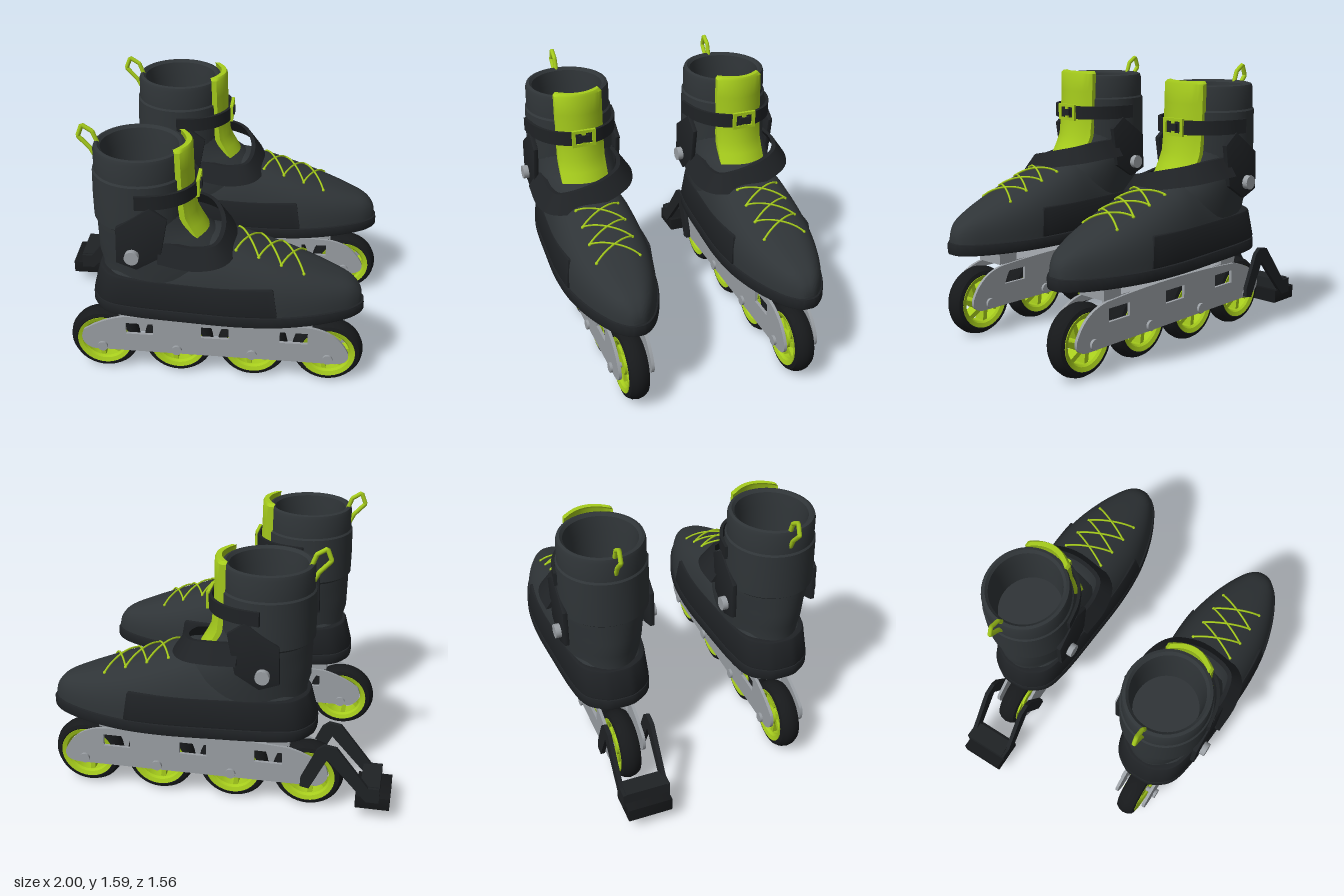
import * as THREE from 'three';
import { toCreasedNormals } from 'three/addons/utils/BufferGeometryUtils.js';

const mat = (color) => new THREE.MeshStandardMaterial({ color, side: THREE.DoubleSide });
const shell = mat(0x2f3437), dark = mat(0x1f2225), rubber = mat(0x17191b), lime = mat(0xa6cc1c), metal = mat(0x9a9fa4);
const V = (x, y, z) => new THREE.Vector3(x, y, z);

function add(parent, name, geo, material, x = 0, y = 0, z = 0) {
  const m = new THREE.Mesh(geo, material);
  m.name = name;
  m.position.set(x, y, z);
  parent.add(m);
  return m;
}

// Skin over closed rings of points, with end caps
function loft(rings, crease = 0.7) {
  const n = rings[0].length, last = (rings.length - 1) * n, idx = [];
  for (let i = 0; i < rings.length - 1; i++) for (let j = 0; j < n; j++) {
    const a = i * n + j, b = i * n + (j + 1) % n;
    idx.push(a, a + n, b, b, a + n, b + n);
  }
  for (let j = 0; j < n / 2 - 1; j++) {
    const k = n - 1 - j;
    idx.push(j, j + 1, k - 1, j, k - 1, k);
    idx.push(last + j, last + k - 1, last + j + 1, last + j, last + k, last + k - 1);
  }
  const g = new THREE.BufferGeometry().setFromPoints(rings.flat());
  g.setIndex(idx);
  return toCreasedNormals(g, crease);
}

// Strap following a path, leaning inwards at its upper edge
function band(points, height, thick, lean = 0) {
  const curve = new THREE.CatmullRomCurve3(points), rings = [], up = V(0, 1, 0);
  for (let i = 0; i <= 40; i++) {
    const p = curve.getPoint(i / 40);
    const out = curve.getTangent(i / 40).cross(up).normalize();
    const at = (o, h) => p.clone().addScaledVector(out, o - lean * h / height).addScaledVector(up, h);
    const h = height / 2;
    rings.push([at(thick, -h), at(thick, h), at(0, h), at(0, -h)]);
  }
  return loft(rings);
}

// Piecewise smooth interpolation through [x, value] pairs
function profile(table) {
  const curve = new THREE.SplineCurve(table.map(([a, b]) => new THREE.Vector2(a, b)));
  const pts = curve.getPoints(120);
  return (x) => {
    let i = 1;
    while (i < pts.length - 1 && pts[i].x < x) i++;
    const a = pts[i - 1], b = pts[i];
    return a.y + (b.y - a.y) * THREE.MathUtils.clamp((x - a.x) / (b.x - a.x || 1), 0, 1);
  };
}

function extrude(shape, depth, bevel = 0) {
  return toCreasedNormals(new THREE.ExtrudeGeometry(shape, {
    depth, curveSegments: 16, bevelEnabled: bevel > 0, bevelSize: bevel, bevelThickness: bevel, bevelSegments: 2,
  }), 0.6);
}
const polygon = (pts) => new THREE.Shape(pts.map(([x, y]) => new THREE.Vector2(x, y)));

// Foot plan (half width) and instep line (height) along x
const OUTLINE = [[-0.65, 0.03], [-0.635, 0.09], [-0.56, 0.18], [-0.4, 0.22], [-0.1, 0.245], [0.15, 0.26], [0.35, 0.253],
  [0.5, 0.228], [0.65, 0.182], [0.78, 0.12], [0.845, 0.065], [0.868, 0.025]];
const halfWidth = profile(OUTLINE);
const instep = profile([[-0.65, 0.62], [-0.5, 0.82], [-0.25, 0.93], [0, 0.985], [0.15, 0.95], [0.3, 0.9], [0.5, 0.83],
  [0.7, 0.755], [0.8, 0.71], [0.85, 0.66], [0.868, 0.61]]);
const BASE = 0.56, POWER = 2.8;
const footY = (x, z) => BASE + (instep(x) - BASE) * Math.pow(1 - Math.pow(Math.abs(z) / halfWidth(x), POWER), 1 / POWER);

function planShape(xMax) {
  const side = new THREE.SplineCurve(OUTLINE.map(([x, w]) => new THREE.Vector2(x, w))).getPoints(60).filter((p) => p.x <= xMax);
  return new THREE.Shape([...side, ...side.slice().reverse().map((p) => new THREE.Vector2(p.x, -p.y))]);
}

function buildBoot(skate) {
  const boot = new THREE.Group();
  boot.name = 'boot';
  skate.add(boot);

  // Foot
  const foot = [];
  for (let i = 0; i <= 48; i++) {
    const x = -0.64 + 1.505 * Math.sin((i / 48) * Math.PI / 2), ring = [];
    for (let j = 0; j < 32; j++) {
      const a = (j / 31) * Math.PI, c = Math.cos(a), s = Math.sin(a), e = 2 / POWER;
      ring.push(V(x, BASE + (instep(x) - BASE) * Math.pow(Math.max(s, 0), e),
        halfWidth(x) * Math.sign(c) * Math.pow(Math.abs(c), e)));
    }
    foot.push(ring);
  }
  add(boot, 'foot', loft(foot, 0.9), shell);

  // Ankle: height, back, front, half width
  const ankle = [[0.57, -0.63, 0.1, 0.2], [0.7, -0.61, 0.13, 0.215], [0.77, -0.597, 0.14, 0.225], [0.85, -0.618, 0.14, 0.235],
    [0.94, -0.62, 0.1, 0.24], [1.02, -0.622, -0.02, 0.24], [1.1, -0.622, -0.09, 0.24], [1.2, -0.622, -0.125, 0.235]];
  add(boot, 'ankle', loft(ankle.map(([y, back, front, w]) => Array.from({ length: 48 }, (_, j) => {
    const a = j / 48 * Math.PI * 2;
    return V((back + front) / 2 + (front - back) / 2 * Math.cos(a), y, w * Math.sin(a));
  })), 0.8), shell);

  // Hollow cuff with padded collar
  const cuff = [[0.24, 1.06], [0.263, 1.08], [0.265, 1.2], [0.262, 1.35], [0.253, 1.36], [0.252, 1.475], [0.245, 1.495],
    [0.228, 1.5], [0.212, 1.485], [0.2, 1.4], [0.19, 1.2], [0.17, 0.95], [0, 0.93]].map(([r, y]) => new THREE.Vector2(r, y));
  add(boot, 'cuff', toCreasedNormals(new THREE.LatheGeometry(cuff, 56), 0.6), shell, -0.372).scale.z = 0.96;

  // Sole and side guard
  const sole = extrude(planShape(1), 0.045, 0.012).rotateX(Math.PI / 2);
  add(boot, 'sole', sole, dark, 0, 0.568);
  const guard = new THREE.ExtrudeGeometry(planShape(0.41), { depth: 0.15, bevelSize: 0.012, bevelThickness: 0.012, bevelSegments: 2 });
  guard.rotateX(Math.PI / 2).translate(0, 0.742, 0);
  const p = guard.attributes.position;
  for (let i = 0; i < p.count; i++) {
    const k = 1 - 0.065 * (p.getY(i) - 0.58) / 0.17;
    p.setX(i, p.getX(i) * k);
    p.setZ(i, p.getZ(i) * k);
  }
  add(boot, 'sideGuard', toCreasedNormals(guard, 0.6), dark);

  // Tongue
  const tongue = [[1.0, 0.005], [1.06, -0.03], [1.12, -0.06], [1.25, -0.075], [1.4, -0.08], [1.51, -0.083], [1.525, -0.09]];
  add(boot, 'tongue', loft(tongue.map(([y, x], i) => {
    const ring = [], w = i === 6 ? 0.125 : 0.14;
    for (let j = 0; j < 24; j++) {
      const outer = j < 12, t = (outer ? j : 23 - j) / 11 * 2 - 1;
      ring.push(V(x - 0.055 * t * t - (outer ? 0 : 0.03), y, t * w));
    }
    return ring;
  })), lime);

  // Cuff strap, buckle and instep strap
  add(boot, 'cuffStrap', band([[-0.37, 0.253], [-0.24, 0.228], [-0.14, 0.17], [-0.08, 0.08], [-0.071, 0], [-0.08, -0.08],
    [-0.14, -0.17], [-0.24, -0.228], [-0.37, -0.253]].map(([x, z]) => V(x, 1.27, z)), 0.08, 0.018), dark);
  const frame = polygon([[-0.07, -0.05], [0.07, -0.05], [0.07, 0.05], [-0.07, 0.05]]);
  for (const s of [-1, 1]) frame.holes.push(new THREE.Path([[0.012, -0.033], [0.05, -0.033], [0.05, 0.033], [0.012, 0.033]]
    .map(([x, y]) => new THREE.Vector2(s * x, y))));
  add(boot, 'buckle', extrude(frame, 0.018), lime, -0.062, 1.27, 0).rotation.y = Math.PI / 2;
  add(boot, 'buckleCatch', new THREE.BoxGeometry(0.02, 0.04, 0.06), dark, -0.045, 1.27, 0);
  add(boot, 'instepStrap', band([V(-0.25, 0.97, 0.235), V(-0.05, 0.935, 0.235), V(0.07, 0.945, 0.19), V(0.105, 0.985, 0),
    V(0.03, 1.025, -0.18), V(-0.09, 1.045, -0.235), V(-0.25, 1.05, -0.238)], 0.1, 0.025, 0.07), dark);

  // Ankle plates and pivot bolts
  const plate = polygon([[-0.47, 1.11], [-0.29, 1.235], [-0.2, 1.17], [-0.24, 0.94], [-0.37, 0.86], [-0.475, 0.9]]);
  for (const s of [-1, 1]) {
    add(boot, 'anklePlate', extrude(plate, 0.02, 0.004), dark, 0, 0, s * 0.25 - 0.01);
    add(boot, 'pivotBolt', new THREE.CylinderGeometry(0.04, 0.04, 0.04, 20).rotateX(Math.PI / 2), metal, -0.39, 0.945, s * 0.276);
  }

  // Pull loop
  const loop = new THREE.CurvePath();
  const lp = [[-0.615, 1.4], [-0.64, 1.45], [-0.705, 1.52], [-0.68, 1.585], [-0.625, 1.55], [-0.595, 1.47]].map(([x, y]) => V(x, y, 0));
  for (let i = 1; i < lp.length; i++) loop.add(new THREE.LineCurve3(lp[i - 1], lp[i]));
  add(boot, 'pullLoop', new THREE.TubeGeometry(loop, 60, 0.013, 8), lime);

  // Crossed laces with eyelets
  for (let i = 0; i < 4; i++) for (const s of [-1, 1]) {
    const x = 0.16 + i * 0.125;
    add(boot, 'eyelet', new THREE.SphereGeometry(0.01, 8, 6), lime, x, footY(x, 0.125), s * 0.125);
    if (i === 3) continue;
    const path = Array.from({ length: 9 }, (_, k) => {
      const t = k / 8, lx = x + t * 0.125, lz = s * (0.125 - 0.25 * t);
      return V(lx, footY(lx, lz) + 0.004 + 0.016 * Math.sin(t * Math.PI), lz);
    });
    add(boot, 'lace', new THREE.TubeGeometry(new THREE.CatmullRomCurve3(path), 24, 0.006, 6), lime);
  }
}

function buildWheel(skate, x) {
  const wheel = new THREE.Group();
  wheel.name = 'wheel';
  wheel.position.set(x, 0.208, 0);
  skate.add(wheel);
  const ring = (pts) => toCreasedNormals(new THREE.LatheGeometry(pts.map(([r, y]) => new THREE.Vector2(r, y)), 40).rotateX(Math.PI / 2), 0.6);
  add(wheel, 'tyre', ring([[0.15, -0.05], [0.165, -0.06], [0.185, -0.053], [0.2, -0.03], [0.206, 0], [0.2, 0.03], [0.185, 0.053],
    [0.165, 0.06], [0.15, 0.05], [0.15, -0.05]]), rubber);
  add(wheel, 'rim', ring([[0.125, -0.04], [0.135, -0.053], [0.16, -0.061], [0.16, 0.061], [0.135, 0.053], [0.125, 0.04], [0.125, -0.04]]), lime);
  add(wheel, 'hub', new THREE.CylinderGeometry(0.06, 0.06, 0.1, 24).rotateX(Math.PI / 2), lime);
  for (let i = 0; i < 7; i++) {
    const a = i / 7 * Math.PI * 2;
    add(wheel, 'spoke', new THREE.BoxGeometry(0.1, 0.028, 0.07), lime, 0.09 * Math.cos(a), 0.09 * Math.sin(a)).rotation.z = a + 0.35;
  }
  add(wheel, 'axle', new THREE.CylinderGeometry(0.016, 0.016, 0.22, 12).rotateX(Math.PI / 2), metal);
  for (const s of [-1, 1]) add(wheel, 'axleBolt', new THREE.CylinderGeometry(0.03, 0.03, 0.015, 16).rotateX(Math.PI / 2), metal, 0, 0, s * 0.116);
}

function buildChassis(skate) {
  // Side rails with three windows
  const rail = new THREE.Shape();
  rail.moveTo(-0.68, 0.18);
  rail.lineTo(0.74, 0.17);
  rail.quadraticCurveTo(0.83, 0.18, 0.81, 0.25);
  rail.bezierCurveTo(0.77, 0.34, 0.7, 0.4, 0.58, 0.415);
  rail.quadraticCurveTo(0.03, 0.455, -0.5, 0.415);
  rail.quadraticCurveTo(-0.62, 0.39, -0.73, 0.31);
  rail.quadraticCurveTo(-0.77, 0.22, -0.68, 0.18);
  for (const x of [-0.48, -0.04, 0.415]) rail.holes.push(new THREE.Path(
    [[x, 0.3], [x + 0.16, 0.3], [x + 0.16, 0.375], [x, 0.375]].map(([a, b]) => new THREE.Vector2(a, b))));
  for (const s of [-1, 1]) add(skate, 'sideRail', extrude(rail, 0.018), metal, 0, 0, s * 0.096 - 0.009);
  // Bridge and boot mounts
  add(skate, 'bridge', new THREE.BoxGeometry(1.0, 0.012, 0.18), metal, 0.04, 0.421);
  for (const x of [-0.455, 0.535]) add(skate, 'mount', new THREE.BoxGeometry(0.13, 0.1, 0.185), metal, x, 0.468);
  for (const x of [-0.62, -0.182, 0.256, 0.694]) buildWheel(skate, x);
}

function buildBrake(skate) {
  const arm = polygon([[-1.04, 0.13], [-0.965, 0.13], [-0.74, 0.385], [-0.64, 0.18], [-0.59, 0.19], [-0.59, 0.24],
    [-0.68, 0.44], [-0.72, 0.472], [-0.79, 0.46], [-0.975, 0.22], [-1.04, 0.22]]);
  for (const s of [-1, 1]) add(skate, 'brakeArm', extrude(arm, 0.024), dark, 0, 0, s * 0.126 - 0.012);
  add(skate, 'brakeHolder', new THREE.BoxGeometry(0.11, 0.07, 0.24), dark, -0.985, 0.19);
  add(skate, 'brakePad', extrude(polygon([[-1.095, 0.085], [-0.91, 0.085], [-0.91, 0.155], [-1.095, 0.155]]), 0.25, 0.005), rubber, 0, 0, -0.125);
}

export function createModel() {
  const model = new THREE.Group();
  model.name = 'inlineSkates';
  for (const [name, x, z] of [['plainSkate', 0, 0.48], ['brakeSkate', 0.095, -0.48]]) {
    const skate = new THREE.Group();
    skate.name = name;
    skate.position.set(x, 0, z);
    buildBoot(skate);
    buildChassis(skate);
    if (name === 'brakeSkate') buildBrake(skate);
    model.add(skate);
  }
  return model;
}
